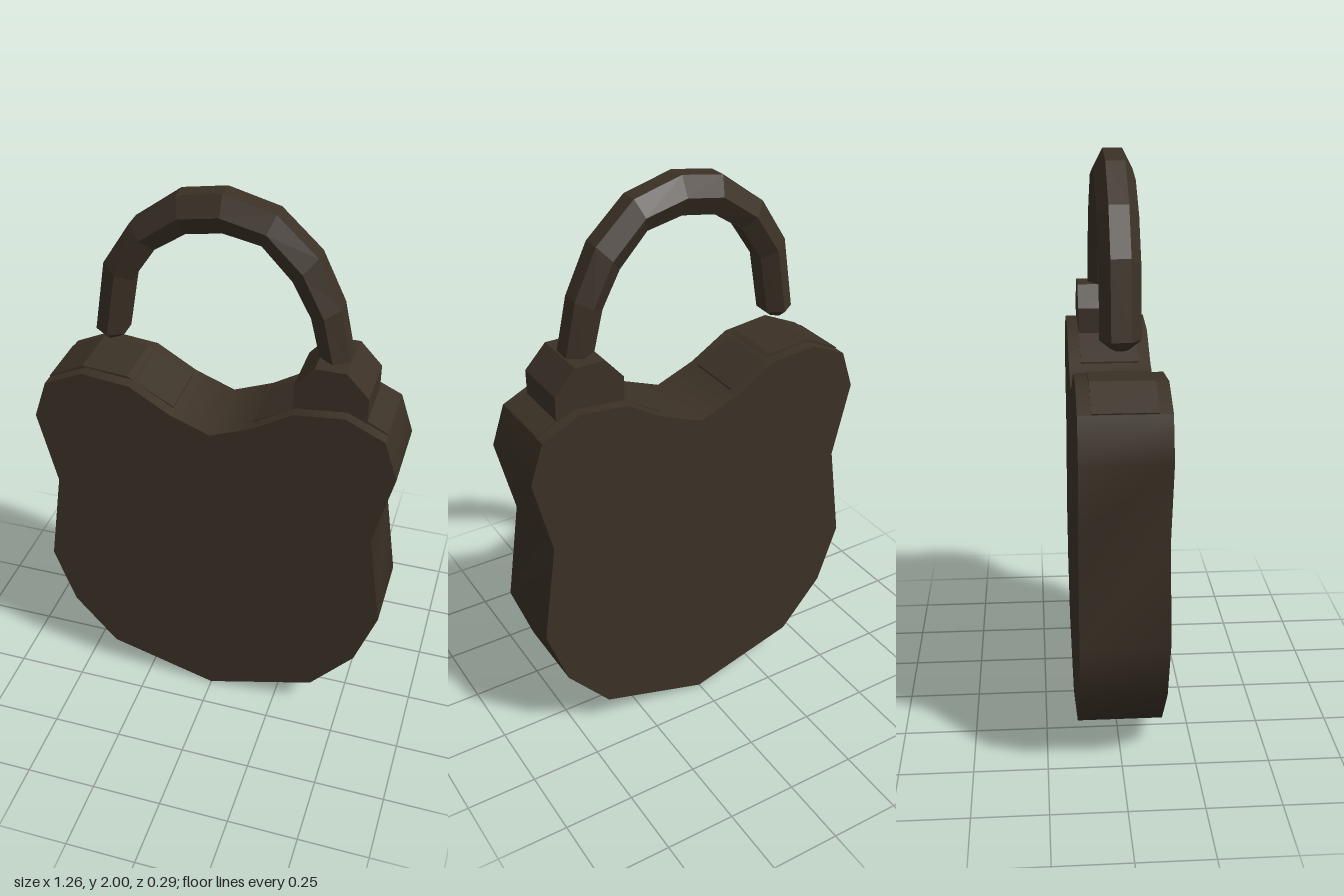
import * as THREE from 'three';
import { toCreasedNormals } from 'three/addons/utils/BufferGeometryUtils.js';

const iron = new THREE.MeshStandardMaterial({ color: 0x3b3126 });
iron.name = 'darkIron';

// Right half of the body outline, from bottom tip to top notch
const half = [[0, 0.005], [0.39, 0.12], [0.545, 0.3], [0.62, 0.515], [0.568, 0.87], [0.632, 1.14],
  [0.585, 1.28], [0.45, 1.343], [0.28, 1.325], [0.14, 1.24], [0, 1.185]];

// Flat profile extruded symmetrically about z = 0
function slab(points, halfDepth) {
  const shape = new THREE.Shape(points.map(([x, y]) => new THREE.Vector2(x, y)));
  const g = new THREE.ExtrudeGeometry(shape, { depth: halfDepth * 2, bevelEnabled: false });
  return g.translate(0, 0, -halfDepth);
}

function add(group, name, geometry) {
  const mesh = new THREE.Mesh(geometry, iron);
  mesh.name = name;
  group.add(mesh);
}

// Faceted hexagonal bar lofted between an outer and an inner arc, closed at both ends
function shackleGeometry() {
  const outer = [[-0.43, 1.46], [-0.39, 1.71], [-0.295, 1.86], [-0.14, 1.975], [0.01, 2],
    [0.18, 1.955], [0.315, 1.83], [0.395, 1.665], [0.44, 1.46]];
  const inner = [[-0.33, 1.455], [-0.295, 1.66], [-0.215, 1.78], [-0.11, 1.85], [0.01, 1.87],
    [0.135, 1.845], [0.235, 1.74], [0.3, 1.62], [0.34, 1.46]];
  const section = [[0, 0.032], [0.5, 0.066], [1, 0.032], [1, -0.032], [0.5, -0.066], [0, -0.032]];
  const rings = outer.map(([ox, oy], i) => section.map(([t, z]) =>
    [ox + (inner[i][0] - ox) * t, oy + (inner[i][1] - oy) * t, z]));
  // Small blunt ring finishing the free tip
  const tip = section.map(([t, z]) => [-0.405 + 0.05 * t, 1.428 + 0.005 * t, z * 0.5]);
  rings.unshift(tip);

  const pos = rings.flat(2), index = [], n = section.length;
  for (let i = 0; i < rings.length - 1; i++) {
    for (let j = 0; j < n; j++) {
      const a = i * n + j, b = i * n + (j + 1) % n;
      index.push(a, b, a + n, b, b + n, a + n);
    }
  }
  const last = (rings.length - 1) * n;
  for (let j = 1; j < n - 1; j++) {
    index.push(0, j + 1, j, last, last + j, last + j + 1);
  }
  // Make the winding face outward whichever way the section runs
  const p = (k) => new THREE.Vector3(...pos.slice(k * 3, k * 3 + 3));
  const mid = 5 * n;
  const normal = p(mid + 1).sub(p(mid)).cross(p(mid + n).sub(p(mid)));
  if (normal.z < 0) {
    for (let k = 0; k < index.length; k += 3) [index[k], index[k + 1]] = [index[k + 1], index[k]];
  }
  const g = new THREE.BufferGeometry();
  g.setAttribute('position', new THREE.Float32BufferAttribute(pos, 3));
  g.setIndex(index);
  const flat = g.toNonIndexed();
  flat.computeVertexNormals();
  return flat;
}

export function createModel() {
  const model = new THREE.Group();
  model.name = 'padlock';

  // Heart-like shield body
  const mirrored = half.slice(1, -1).reverse().map(([x, y]) => [-x, y]);
  add(model, 'body', toCreasedNormals(slab([...half, ...mirrored], 0.145), 0.75));

  // Low saddle strips over each shoulder
  const saddle = [[0.57, 1.24], [0.585, 1.285], [0.46, 1.349], [0.3, 1.336], [0.14, 1.246], [0.14, 1.2]];
  add(model, 'leftSaddle', slab(saddle, 0.103));
  add(model, 'rightSaddle', slab(saddle.map(([x, y]) => [-x, y]).reverse(), 0.103));

  // Chamfered collar holding the fixed end of the shackle
  add(model, 'collar', slab([[0.27, 1.28], [0.515, 1.28], [0.515, 1.405], [0.44, 1.485],
    [0.335, 1.485], [0.27, 1.41]], 0.105));

  add(model, 'shackle', shackleGeometry());
  return model;
}
